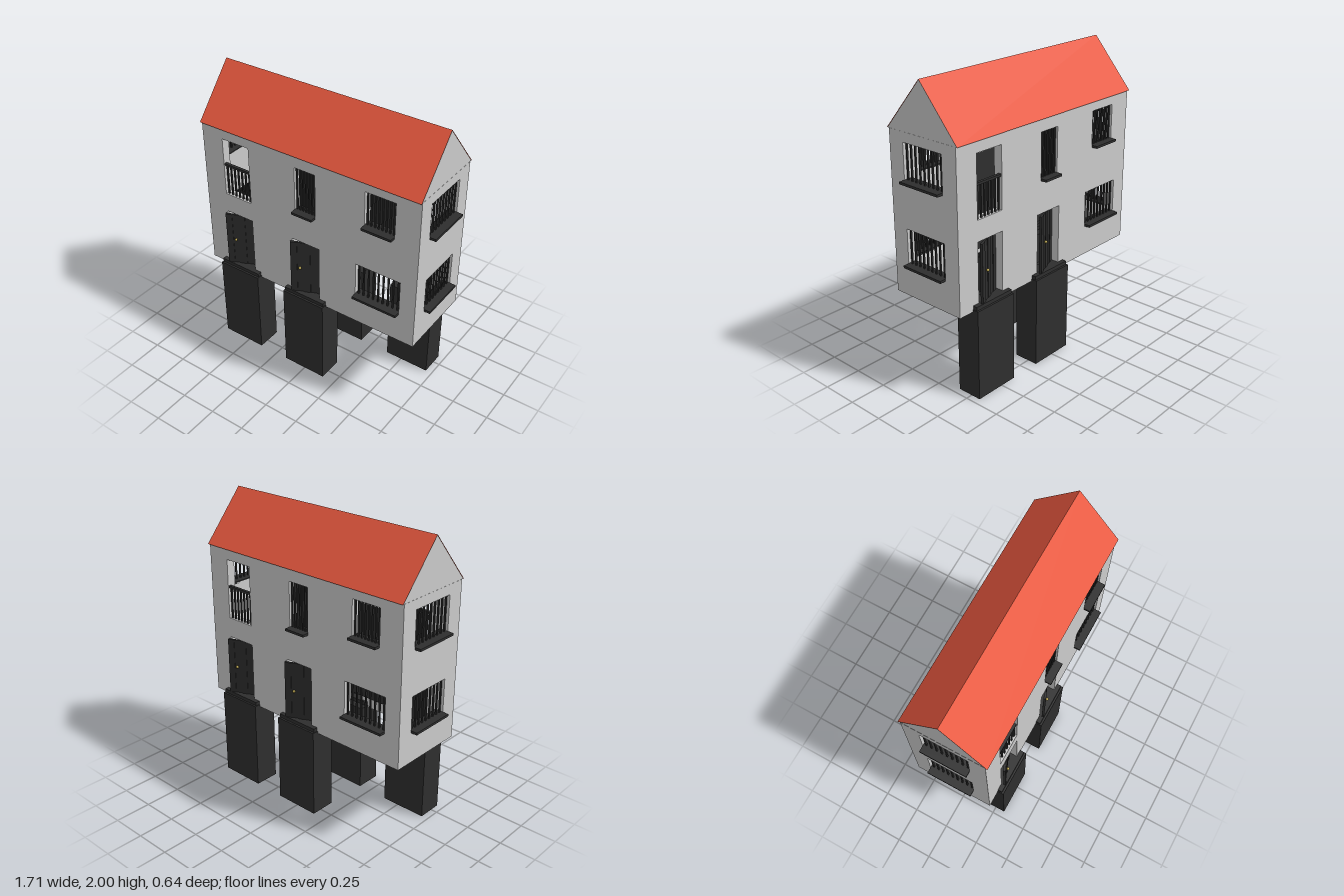
import * as THREE from 'three';

const mat = (color) => new THREE.MeshStandardMaterial({ color, side: THREE.DoubleSide });
const grey = mat(0xcccccc);
const dark = mat(0x2e2e2e);
const red = mat(0xe8583f);
const brass = mat(0xb5a04a);

// Box given by its lower and upper limits
function box(parent, name, material, [x0, x1], [y0, y1], [z0, z1]) {
  const mesh = new THREE.Mesh(new THREE.BoxGeometry(x1 - x0, y1 - y0, z1 - z0), material);
  mesh.position.set((x0 + x1) / 2, (y0 + y1) / 2, (z0 + z1) / 2);
  mesh.name = name;
  parent.add(mesh);
  return mesh;
}

// Wall with rectangular openings, its outer face at z = 0
function wall(name, halfWidth, openings) {
  const rect = (target, [x0, x1, y0, y1]) => {
    target.moveTo(x0, y0).lineTo(x1, y0).lineTo(x1, y1).lineTo(x0, y1).closePath();
    return target;
  };
  const shape = rect(new THREE.Shape(), [-halfWidth, halfWidth, 0.6, 1.665]);
  shape.holes = openings.map((o) => rect(new THREE.Path(), o));
  const geometry = new THREE.ExtrudeGeometry(shape, { depth: 0.06, bevelEnabled: false });
  geometry.translate(0, 0, -0.06);
  const mesh = new THREE.Mesh(geometry, grey);
  mesh.name = name;
  return mesh;
}

// Upright bars across an opening, with a sill or a top rail
function grille(parent, [x0, x1, y0, y1], count, sill, rail) {
  const group = new THREE.Group();
  group.name = rail ? 'balconyRailing' : 'windowGrille';
  for (let i = 0; i < count; i++) {
    const x = x0 + ((i + 0.5) * (x1 - x0)) / count;
    box(group, 'bar', dark, [x - 0.005, x + 0.005], [y0, y1], [-0.02, -0.01]);
  }
  if (sill) box(group, 'sill', dark, [x0, x1], [y0 - 0.008, y0 + 0.008], [-0.06, 0.042]);
  if (rail) box(group, 'rail', dark, [x0, x1], [y1 - 0.008, y1 + 0.008], [-0.025, -0.005]);
  parent.add(group);
}

// Plank door standing ajar above its step and pillar
function entrance(parent, cx) {
  box(parent, 'pillar', dark, [cx - 0.16, cx + 0.16], [0, 0.615], [0.145, 0.318]);
  box(parent, 'step', dark, [cx - 0.155, cx + 0.155], [0.615, 0.64], [0.2, 0.305]);
  const door = new THREE.Group();
  door.name = 'door';
  for (let i = 0; i < 5; i++) {
    const x = -0.22 + i * 0.044;
    const front = i % 2 ? 0.004 : 0.008;
    box(door, 'plank', dark, [x, x + 0.044], [0.64, 1.035], [-0.008, front]);
  }
  const knob = new THREE.Mesh(new THREE.SphereGeometry(0.01, 12, 8), brass);
  knob.name = 'doorKnob';
  knob.position.set(-0.155, 0.84, 0.016);
  door.add(knob);
  door.position.set(cx + 0.1, 0, 0.215);
  door.rotation.y = 0.39;
  parent.add(door);
}

// Front wall and one end wall; the other half is the same turned by 180 degrees
function halfHouse() {
  const half = new THREE.Group();
  half.name = 'houseHalf';

  const low = [0.38, 0.7, 0.815, 1.052];
  const balcony = [-0.65, -0.44, 1.18, 1.59];
  const middle = [-0.08, 0.075, 1.27, 1.58];
  const upper = [0.435, 0.645, 1.36, 1.6];
  const doors = [-0.545, -0.005];
  const front = new THREE.Group();
  front.name = 'longSide';
  front.add(wall('longWall', 0.812, [
    ...doors.map((c) => [c - 0.106, c + 0.106, 0.62, 1.042]), low, balcony, middle, upper]));
  grille(front, low, 9, true);
  grille(front, middle, 7, true);
  grille(front, upper, 8, true);
  grille(front, [-0.65, -0.44, 1.18, 1.4], 7, false, true);
  front.position.z = 0.275;
  half.add(front);
  doors.forEach((c) => entrance(half, c));

  const end = new THREE.Group();
  end.name = 'endSide';
  const endWindows = [[-0.16, 0.16, 0.815, 1.052], [-0.16, 0.16, 1.36, 1.6]];
  end.add(wall('endWall', 0.215, endWindows));
  endWindows.forEach((w) => grille(end, w, 9, true));
  end.position.x = 0.812;
  end.rotation.y = Math.PI / 2;
  half.add(end);

  // Gable triangle
  const gable = new THREE.Shape();
  gable.moveTo(-0.288, 1.665).lineTo(0.288, 1.665).lineTo(0, 1.999).closePath();
  const gableMesh = new THREE.Mesh(new THREE.ShapeGeometry(gable), grey);
  gableMesh.name = 'gable';
  gableMesh.rotation.y = Math.PI / 2;
  gableMesh.position.x = 0.811;
  half.add(gableMesh);

  // Roof slope
  const rise = 0.335, run = 0.29;
  const slope = new THREE.Mesh(new THREE.PlaneGeometry(1.63, Math.hypot(rise, run)), red);
  slope.name = 'roofSlope';
  slope.position.set(0, 1.665 + rise / 2, run / 2);
  slope.rotation.x = -Math.atan2(run, rise);
  half.add(slope);
  return half;
}

export function createModel() {
  const model = new THREE.Group();
  model.name = 'house';
  for (const turn of [0, Math.PI]) {
    const half = halfHouse();
    half.rotation.y = turn;
    model.add(half);
  }

  // Crossed inner partitions, dark below and grey above
  for (const [material, y] of [[dark, [0.82, 1.46]], [grey, [1.46, 1.66]]]) {
    box(model, 'longPartition', material, [-0.66, 0.66], y, [-0.01, 0.01]);
    box(model, 'crossPartition', material, [-0.01, 0.01], y, [-0.16, 0.16]);
  }
  return model;
}
